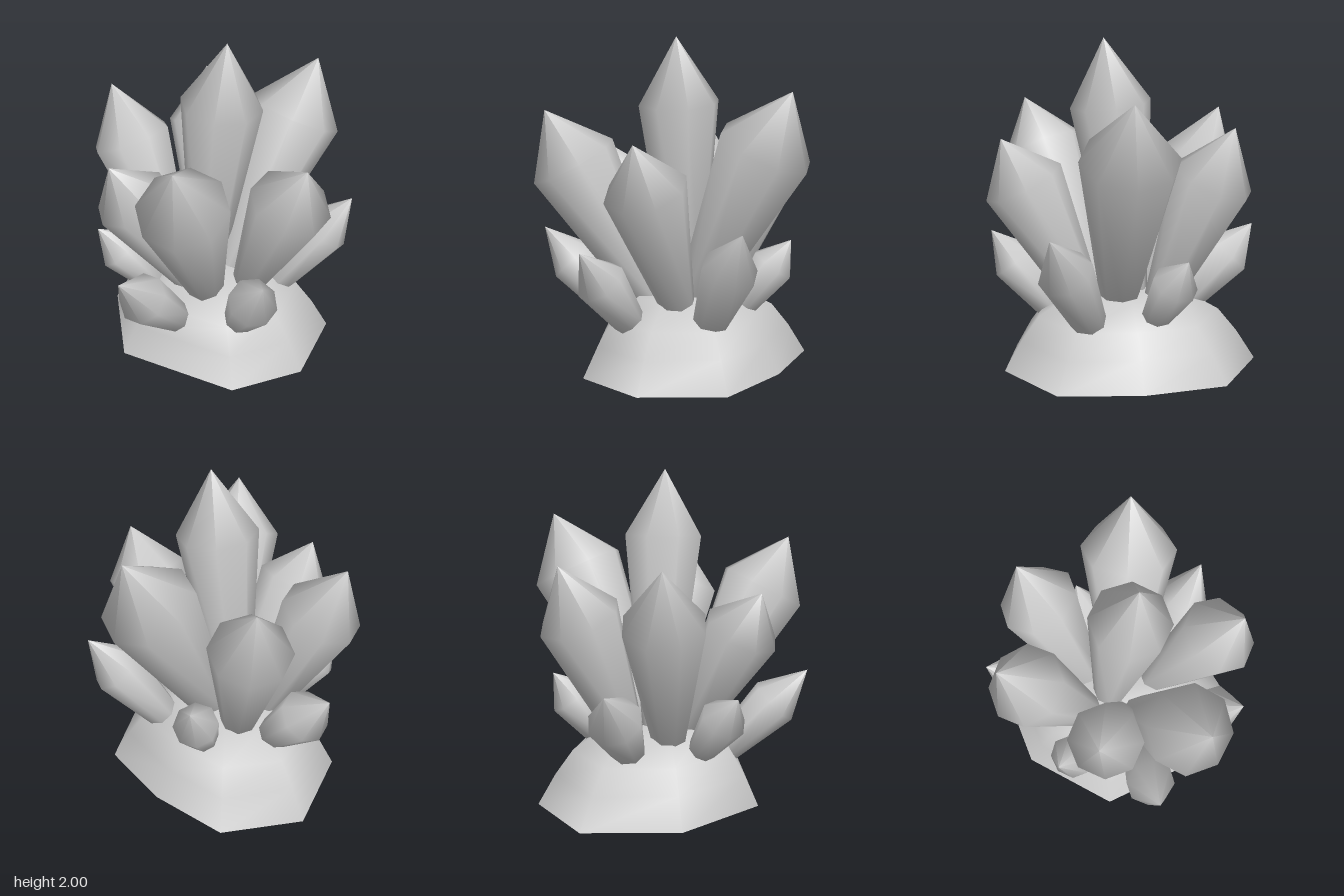
import * as THREE from 'three';

const material = new THREE.MeshStandardMaterial({ color: 0xcccccc, side: THREE.DoubleSide });

// Eight-sided crystal: narrow foot, wide shoulder, pointed tip
function crystal(name, foot, tip, radius, footRatio, shoulderAt) {
  const a = new THREE.Vector3(...foot);
  const axis = new THREE.Vector3(...tip).sub(a);
  const length = axis.length();
  const profile = [
    [0, 0],
    [radius * footRatio, 0.01],
    [radius, length * shoulderAt],
    [0, length],
  ].map(([r, y]) => new THREE.Vector2(r, y));
  const mesh = new THREE.Mesh(new THREE.LatheGeometry(profile, 8), material);
  mesh.name = name;
  mesh.position.copy(a);
  mesh.quaternion.setFromUnitVectors(new THREE.Vector3(0, 1, 0), axis.normalize());
  return mesh;
}

// Irregular rock: the ground outline shrinks ring by ring towards the top
function rockBase() {
  const outline = [
    [0.65, -0.03], [0.585, 0.47], [0.15, 0.75], [-0.3, 0.65],
    [-0.66, -0.02], [-0.39, -0.57], [0.15, -0.81], [0.58, -0.53],
  ];
  const rings = [[1, 0], [0.86, 0.18], [0.72, 0.32], [0.46, 0.44]];
  const n = outline.length;
  const positions = [];
  const index = [];
  for (const [scale, y] of rings) {
    for (const [x, z] of outline) positions.push(x * scale, y, z * scale);
  }
  for (let r = 0; r < rings.length - 1; r++) {
    for (let i = 0; i < n; i++) {
      const a = r * n + i;
      const b = r * n + ((i + 1) % n);
      index.push(a, a + n, b, b, a + n, b + n);
    }
  }
  // Top cap
  const top = positions.length / 3;
  positions.push(0, 0.46, 0);
  const last = (rings.length - 1) * n;
  for (let i = 0; i < n; i++) index.push(last + i, top, last + ((i + 1) % n));
  // Flat underside with its own corners, so the ground edge stays sharp
  const under = positions.length / 3;
  for (const [x, z] of outline) positions.push(x, 0, z);
  for (let i = 1; i < n - 1; i++) index.push(under, under + i, under + i + 1);

  const geometry = new THREE.BufferGeometry();
  geometry.setAttribute('position', new THREE.Float32BufferAttribute(positions, 3));
  geometry.setIndex(index);
  geometry.computeVertexNormals();
  const mesh = new THREE.Mesh(geometry, material);
  mesh.name = 'rockBase';
  return mesh;
}

export function createModel() {
  const model = new THREE.Group();
  model.name = 'crystalCluster';
  model.add(rockBase());

  // Tall crystals: name, foot, tip, shoulder radius, shoulder position along the axis
  const tall = [
    ['centreCrystal', [-0.01, 0.4, -0.05], [0.02, 2, 0.12], 0.245, 0.755],
    ['leftCrystal', [0.11, 0.43, 0.04], [0.75, 1.7, 0.05], 0.29, 0.74],
    ['frontCrystal', [0.11, 0.4, 0.24], [0.13, 1.43, 0.74], 0.245, 0.745],
    ['frontRightCrystal', [-0.15, 0.41, 0.15], [-0.63, 1.57, 0.55], 0.27, 0.735],
    ['backRightCrystal', [-0.14, 0.4, -0.19], [-0.3, 1.53, -0.66], 0.25, 0.71],
    ['backLeftCrystal', [0.12, 0.4, -0.21], [0.37, 1.5, -0.6], 0.25, 0.715],
    ['rightCrystal', [-0.17, 0.4, 0.04], [-0.67, 1.33, -0.07], 0.23, 0.75],
  ];
  for (const [name, foot, tip, radius, shoulderAt] of tall) {
    model.add(crystal(name, foot, tip, radius, 0.42, shoulderAt));
  }

  // Short crystals around the rim
  const short = [
    ['smallFrontRightCrystal', [-0.37, 0.27, 0.15], [-0.85, 0.8, 0.3], 0.155, 0.61],
    ['smallFrontCrystal', [-0.1, 0.31, 0.43], [-0.2, 0.8, 0.8], 0.15, 0.61],
    ['smallFrontLeftCrystal', [0.32, 0.32, 0.24], [0.69, 0.95, 0.51], 0.165, 0.64],
    ['smallBackLeftCrystal', [0.34, 0.36, -0.14], [0.59, 0.77, -0.29], 0.14, 0.62],
    ['smallBackRightCrystal', [-0.34, 0.36, -0.16], [-0.63, 0.76, -0.33], 0.14, 0.62],
    ['smallBackCrystal', [0.02, 0.38, -0.41], [-0.02, 0.83, -0.82], 0.165, 0.59],
  ];
  for (const [name, foot, tip, radius, shoulderAt] of short) {
    model.add(crystal(name, foot, tip, radius, 0.62, shoulderAt));
  }
  return model;
}
